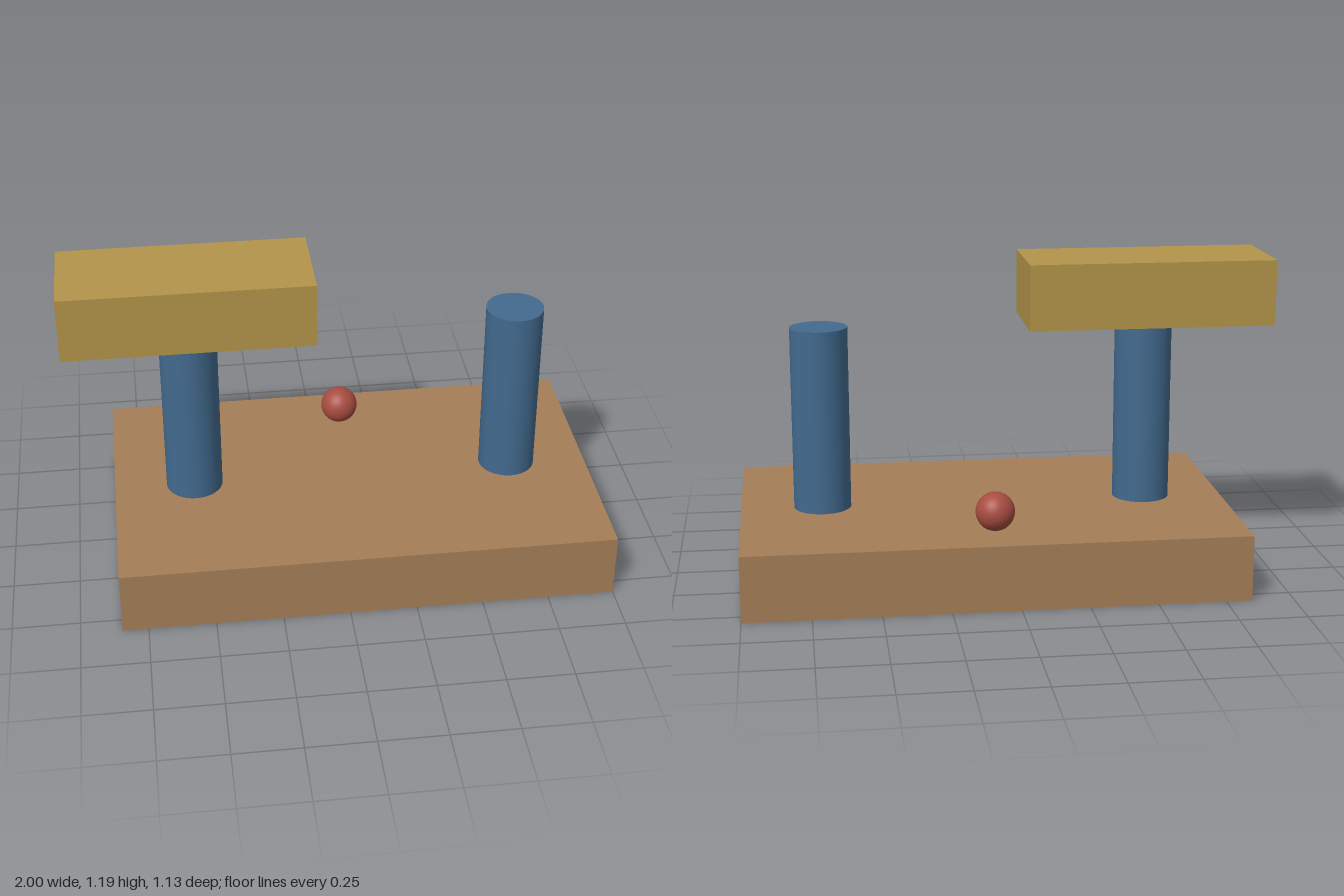
import * as THREE from 'three';

const material = (name, color) => {
  const m = new THREE.MeshStandardMaterial({ color });
  m.name = name;
  return m;
};

export function createModel() {
  const wood = material('brown wood', 0xa47e58);
  const blue = material('blue paint', 0x426a8e);
  const gold = material('ochre paint', 0xb2944a);
  const red = material('red paint', 0xa84c40);

  const model = new THREE.Group();
  model.name = 'postsAndBlock';

  const add = (name, geometry, mat, x, y, z) => {
    const mesh = new THREE.Mesh(geometry, mat);
    mesh.name = name;
    mesh.position.set(x, y, z);
    model.add(mesh);
  };

  const centreX = 0.077;
  const baseTop = 0.246;
  const postHeight = 0.696;
  const postTop = baseTop + postHeight;

  // Base slab
  add('base', new THREE.BoxGeometry(1.846, baseTop, 1.127), wood, centreX, baseTop / 2, 0);

  // Two round posts
  const postGeometry = new THREE.CylinderGeometry(0.108, 0.108, postHeight, 64);
  for (const [name, side] of [['rightPost', -1], ['leftPost', 1]]) {
    add(name, postGeometry, blue, centreX + side * 0.615, baseTop + postHeight / 2, 0);
  }

  // Block resting on the right post
  add('topBlock', new THREE.BoxGeometry(0.923, 0.246, 0.375), gold, -0.5385, postTop + 0.123, 0);

  // Small ball near the back edge
  add('ball', new THREE.SphereGeometry(0.072, 48, 32), red, 0.075, baseTop + 0.072, -0.375);

  return model;
}
